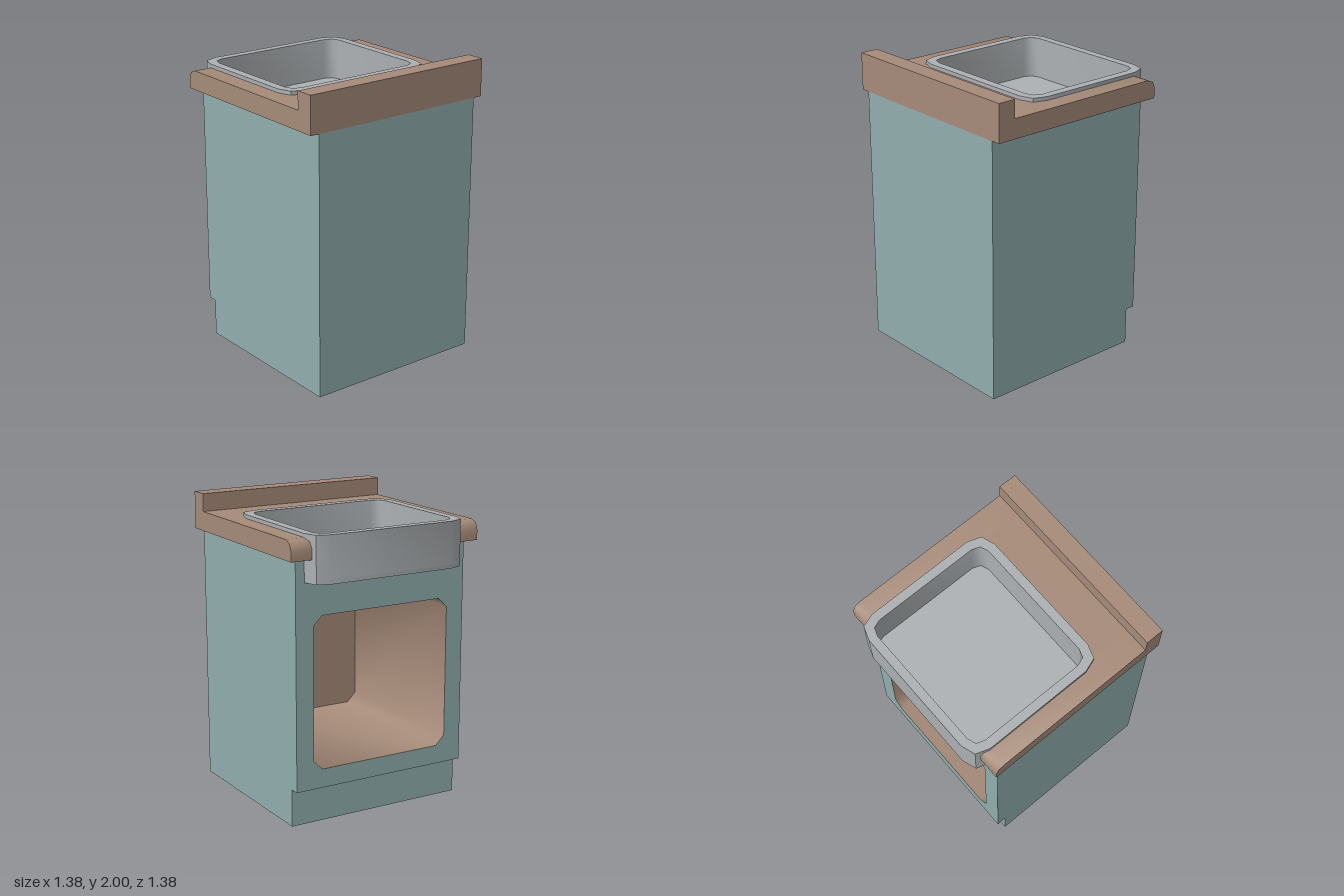
import * as THREE from 'three';
import { toCreasedNormals } from 'three/addons/utils/BufferGeometryUtils.js';

const material = (name, color) => Object.assign(new THREE.MeshStandardMaterial({ color }), { name });

const shapeOf = (points) => new THREE.Shape(points.map(([x, y]) => new THREE.Vector2(x, y)));

// Rectangle whose corners are cut: by two facets when mid is given, else by one.
function cutRect(x0, y0, x1, y1, c, mid) {
  const cx = (x0 + x1) / 2, cy = (y0 + y1) / 2, w = (x1 - x0) / 2, h = (y1 - y0) / 2;
  const corner = mid ? [[w, h - c], [w - mid, h - mid], [w - c, h]] : [[w, h - c], [w - c, h]];
  const points = [];
  for (const [sx, sy] of [[1, 1], [-1, 1], [-1, -1], [1, -1]]) {
    const list = sx * sy > 0 ? corner : [...corner].reverse();
    for (const [x, y] of list) points.push([cx + sx * x, cy + sy * y]);
  }
  return points;
}

// Extrusion with soft small bevels and sharp right angles.
function extrude(shape, depth) {
  const geometry = new THREE.ExtrudeGeometry(shape, { depth, bevelEnabled: false });
  return toCreasedNormals(geometry, 0.9);
}

export function createModel() {
  const model = new THREE.Group();
  model.name = 'kitchenSinkCabinet';
  const teal = material('cabinet teal', 0x91afae);
  const brown = material('wood brown', 0xa68b79);
  const grey = material('sink grey', 0xadb1b4);

  const add = (parent, name, geometry, mat) => {
    const mesh = new THREE.Mesh(geometry, mat);
    mesh.name = name;
    parent.add(mesh);
    return mesh;
  };
  const box = (parent, name, mat, x0, x1, y0, y1, z0, z1) =>
    add(parent, name, new THREE.BoxGeometry(x1 - x0, y1 - y0, z1 - z0), mat)
      .position.set((x0 + x1) / 2, (y0 + y1) / 2, (z0 + z1) / 2);

  const back = 0.6875, inner = 0.52, side = 0.625, edge = 0.6875;

  // Cabinet: notched side walls, back, base and the panel around the opening
  const cabinet = new THREE.Group();
  cabinet.name = 'cabinet';
  model.add(cabinet);
  const sideProfile = shapeOf([[-0.5, 0], [back, 0], [back, 1.75], [-0.565, 1.75], [-0.565, 0.25], [-0.5, 0.25]]);
  for (const z of [-side, inner]) {
    add(cabinet, 'sideWall', extrude(sideProfile, side - inner), teal).position.z = z;
  }
  box(cabinet, 'backWall', teal, 0.6, back, 0, 1.75, -inner, inner);
  box(cabinet, 'toeKick', teal, -0.5, 0.6, 0, 0.25, -inner, inner);
  box(cabinet, 'cabinetFloor', teal, -0.564, 0.6, 0.25, 0.33, -inner, inner);

  const opening = cutRect(-0.5, 0.375, 0.5, 1.38, 0.0625);
  const panel = shapeOf([[-inner, 0.25], [inner, 0.25], [inner, 1.62], [-inner, 1.62]]);
  panel.holes.push(shapeOf(opening));
  add(cabinet, 'frontPanel', new THREE.ShapeGeometry(panel).rotateY(-Math.PI / 2), teal).position.x = -0.565;

  // Wooden lining of the compartment
  const lining = shapeOf(cutRect(-0.515, 0.36, 0.515, 1.395, 0.0625));
  lining.holes.push(shapeOf(opening));
  add(cabinet, 'compartmentLining', extrude(lining, 1.124).rotateY(Math.PI / 2), brown).position.x = -0.564;
  box(cabinet, 'compartmentBack', brown, 0.56, 0.59, 0.36, 1.395, -0.515, 0.515);

  // Worktop: rounded front edge and splashback, left open under the sink
  const worktop = new THREE.Group();
  worktop.name = 'worktop';
  model.add(worktop);
  const rear = [[back, 1.75], [back, 2], [0.5625, 2], [0.5625, 1.88]];
  const endProfile = shapeOf([[-0.625, 1.75], ...rear, [-0.5625, 1.88], [-0.607, 1.862], [-0.625, 1.818]]);
  for (const z of [-edge, inner]) {
    add(worktop, 'worktopEnd', extrude(endProfile, edge - inner), brown).position.z = z;
  }
  const rearProfile = shapeOf([[0.27, 1.75], ...rear, [0.27, 1.88]]);
  add(worktop, 'worktopRear', extrude(rearProfile, 2 * inner), brown).position.z = -inner;

  // Sink basin: wall ring and bottom
  const sink = new THREE.Group();
  sink.name = 'sink';
  model.add(sink);
  const outline = cutRect(-0.6875, -0.5625, 0.3125, 0.5625, 0.122, 0.031);
  const wall = shapeOf(outline);
  wall.holes.push(shapeOf(cutRect(-0.63, -0.503, 0.252, 0.503, 0.075, 0.02)));
  add(sink, 'basinWall', extrude(wall, 0.28).rotateX(-Math.PI / 2), grey).position.y = 1.625;
  add(sink, 'basinBottom', extrude(shapeOf(outline), 0.025).rotateX(-Math.PI / 2), grey).position.y = 1.6;

  return model;
}
